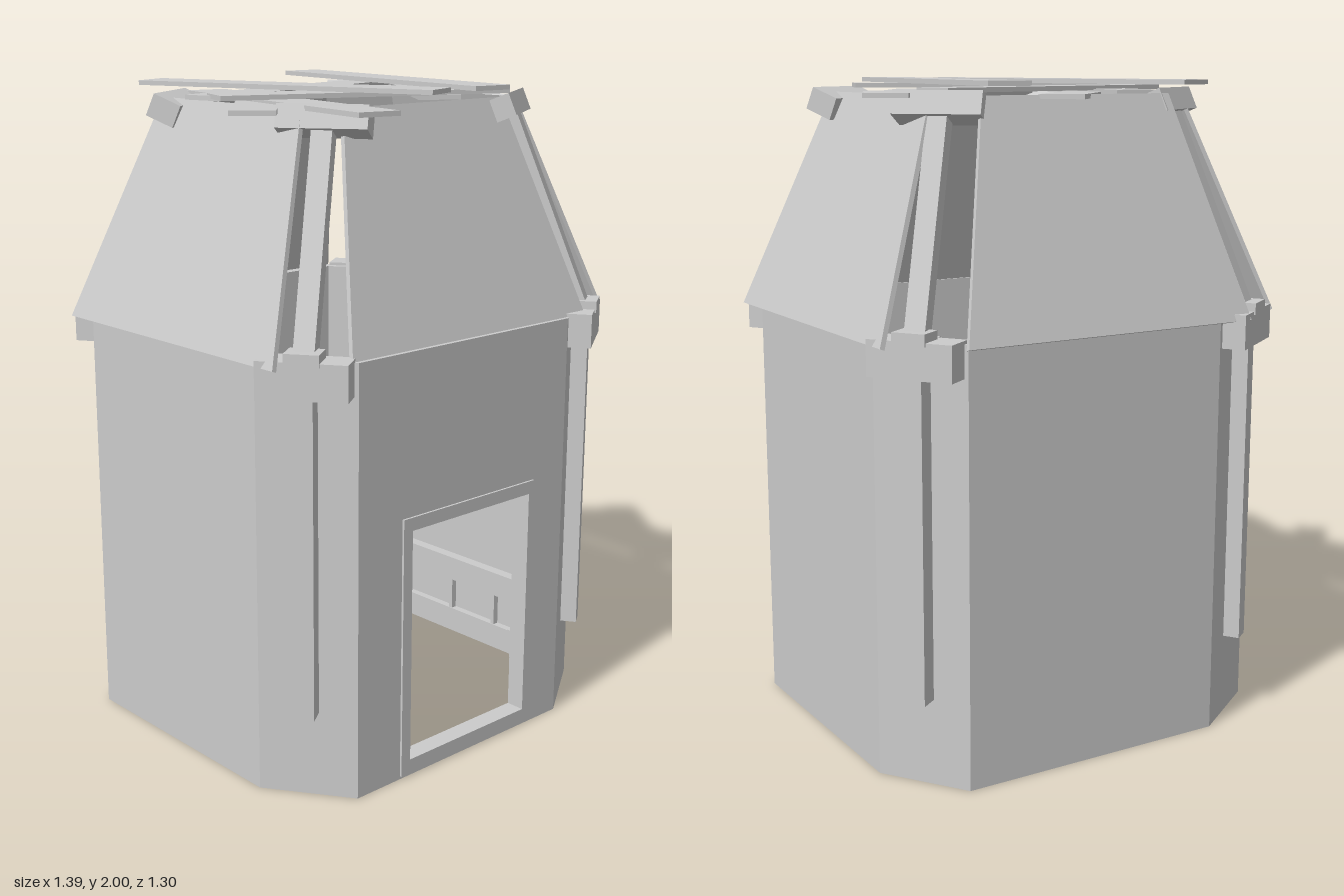
import * as THREE from 'three';

const mat = new THREE.MeshStandardMaterial({ color: 0xcccccc, flatShading: true, side: THREE.DoubleSide });
const V = (x, y, z) => new THREE.Vector3(x, y, z);

// Plan of the walls as [x, z], starting at the front right corner of the front wall
const PLAN = [
  [0.39, 0.6], [0.645, 0.43], [0.645, -0.36], [0.475, -0.6],
  [-0.39, -0.6], [-0.645, -0.43], [-0.645, 0.36], [-0.475, 0.6],
];
const DOOR = { x0: -0.27, x1: 0.235, y0: 0.05, y1: 0.775 };

export function createModel() {
  const model = new THREE.Group();

  function add(parent, name, geometry) {
    const mesh = new THREE.Mesh(geometry, mat);
    mesh.name = name;
    parent.add(mesh);
    return mesh;
  }

  function group(name) {
    const g = new THREE.Group();
    g.name = name;
    model.add(g);
    return g;
  }

  // Box from a to b; its width runs along the given direction
  function beam(parent, name, a, b, width, depth, across) {
    const y = b.clone().sub(a), length = y.length();
    y.normalize();
    const z = across.clone().cross(y).normalize();
    const x = y.clone().cross(z);
    const mesh = add(parent, name, new THREE.BoxGeometry(width, length, depth));
    mesh.quaternion.setFromRotationMatrix(new THREE.Matrix4().makeBasis(x, y, z));
    mesh.position.copy(a).add(b).multiplyScalar(0.5);
    return mesh;
  }

  // Eight-sided band between two scaled copies of the plan, optionally open at the door
  function band(parent, name, y0, y1, outer, inner, open) {
    const loop = (s) => {
      const pts = PLAN.map(([x, z]) => new THREE.Vector2(x * s, -z * s));
      if (open) {
        pts.unshift(new THREE.Vector2(DOOR.x1, -0.6 * s));
        pts.push(new THREE.Vector2(DOOR.x0, -0.6 * s));
      }
      return pts;
    };
    let shape;
    if (open) {
      shape = new THREE.Shape([...loop(outer), ...loop(inner).reverse()]);
    } else {
      shape = new THREE.Shape(loop(outer));
      shape.holes.push(new THREE.Path(loop(inner)));
    }
    const geo = new THREE.ExtrudeGeometry(shape, { depth: y1 - y0, bevelEnabled: false });
    geo.rotateX(-Math.PI / 2).translate(0, y0, 0);
    return add(parent, name, geo);
  }

  // Walls: sill course, door course, upper course
  const walls = group('walls');
  band(walls, 'sillWall', 0, DOOR.y0, 1, 0.94, false);
  band(walls, 'doorWall', DOOR.y0, DOOR.y1, 1, 0.94, true);
  band(walls, 'upperWall', DOOR.y1, 1.3, 1, 0.94, false);

  // Inner rails with short dividers between them
  const trim = group('innerTrim');
  band(trim, 'lowerRail', 0.06, 0.1, 0.94, 0.9, true);
  band(trim, 'upperRail', 0.21, 0.285, 0.94, 0.9, true);
  band(trim, 'ledge', 0.285, 0.3, 0.94, 0.88, true);
  for (let i = 1; i < 6; i += 2) {
    const [ax, az] = PLAN[i], [bx, bz] = PLAN[i + 1];
    const along = V(bx - ax, 0, bz - az).normalize();
    for (const t of [0.06, 0.34, 0.62, 0.94]) {
      const x = (ax + (bx - ax) * t) * 0.92, z = (az + (bz - az) * t) * 0.92;
      beam(trim, 'divider', V(x, 0.1, z), V(x, 0.21, z), 0.014, 0.02, along);
    }
  }

  // Door frame, a little proud of the wall
  const frame = group('doorFrame');
  const outline = new THREE.Shape([[-0.305, 0.01], [0.25, 0.01], [0.25, 0.815], [-0.305, 0.815]]
    .map(([x, y]) => new THREE.Vector2(x, y)));
  outline.holes.push(new THREE.Path([[-0.27, 0.055], [-0.27, 0.775], [0.228, 0.775], [0.228, 0.055]]
    .map(([x, y]) => new THREE.Vector2(x, y))));
  add(frame, 'doorSurround', new THREE.ExtrudeGeometry(outline, { depth: 0.06, bevelEnabled: false })
    .translate(0, 0, 0.547));

  // Corner supports: post, cap, inner batten, sloping rafter and top block
  const corners = [
    { name: 'frontLeft', foot: [0.525, 0.535], top: [0.39, 0.32], edge: 0 },
    { name: 'backLeft', foot: [0.58, -0.5], top: [0.4, -0.32], edge: 2 },
    { name: 'backRight', foot: [-0.525, -0.535], top: [-0.38, -0.31], edge: 4 },
    { name: 'frontRight', foot: [-0.58, 0.5], top: [-0.37, 0.345], edge: 6 },
  ];
  for (const { name, foot: [x, z], top: [tx, tz], edge } of corners) {
    const g = group(name + 'Support');
    const [ax, az] = PLAN[edge], [bx, bz] = PLAN[edge + 1];
    const along = V(bx - ax, 0, bz - az).normalize();
    beam(g, 'post', V(x, 0.26, z), V(x, 1.21, z), 0.055, 0.06, along);
    beam(g, 'postCap', V(x, 1.205, z), V(x, 1.31, z), 0.26, 0.1, along);
    beam(g, 'innerBatten', V(x * 0.87, 0.01, z * 0.87), V(x * 0.87, 1.3, z * 0.87), 0.05, 0.04, along);
    beam(g, 'rafterFoot', V(x * 1.02, 1.3, z * 1.02), V(x * 1.02, 1.335, z * 1.02), 0.1, 0.08, along);
    const a = V(x, 1.3, z), b = V(tx, 1.93, tz);
    const across = V(tz - z, 0, x - tx).normalize();
    beam(g, 'rafter', a, b, 0.06, 0.06, across);
    const dir = b.clone().sub(a).normalize();
    beam(g, 'topBlock', b.clone().addScaledVector(dir, -0.045), b.clone().addScaledVector(dir, 0.025),
      0.26, 0.09, across);
  }

  // Four sloping roof panels: [name, bottom distance, top distance]
  const roof = group('roof');
  [['frontPanel', 0.59, 0.365], ['leftPanel', 0.685, 0.435], ['backPanel', 0.625, 0.41], ['rightPanel', 0.685, 0.435]]
    .forEach(([name, low, high], k) => {
      const rise = 0.665, run = low - high, length = Math.hypot(rise, run);
      const shape = new THREE.Shape([[-0.487, 0], [0.487, 0], [0.32, length], [-0.32, length]]
        .map(([x, y]) => new THREE.Vector2(x, y)));
      const geo = new THREE.ExtrudeGeometry(shape, { depth: 0.015, bevelEnabled: false });
      geo.translate(0, 0, -0.015).rotateX(-Math.atan2(run, rise)).translate(0, 1.29, low);
      add(roof, name, geo.rotateY(k * Math.PI / 2));
    });

  // Loose planks over the top opening: x, z of one end, x, z of the other, height
  const planks = group('topPlanks');
  const list = [
    [-0.58, 0.288, 0.085, -0.455, 1.95],
    [-0.415, 0.612, -0.235, -0.37, 1.958],
    [0.55, -0.275, 0.165, 0.26, 1.955],
    [-0.49, -0.05, 0.4, -0.27, 1.968],
    [-0.495, 0.01, 0.355, 0.33, 1.974],
    [-0.345, -0.51, 0.01, 0.42, 1.988],
    [0.32, -0.56, 0.205, 0.438, 1.99],
  ];
  for (const [x0, z0, x1, z1, y] of list) {
    const across = V(z1 - z0, 0, x0 - x1).normalize();
    beam(planks, 'plank', V(x0, y, z0), V(x1, y, z1), 0.13, 0.014, across);
  }

  return model;
}
